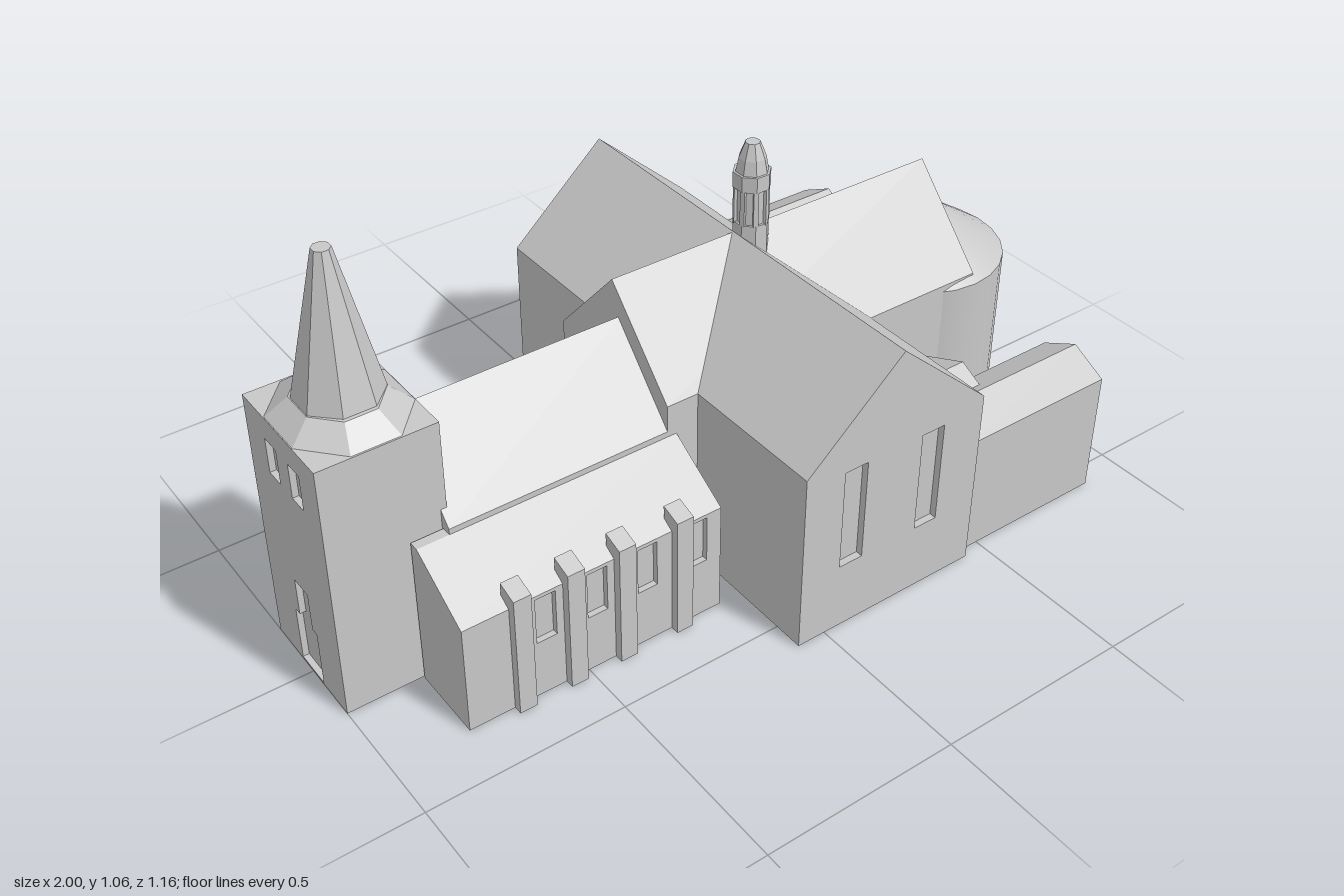
import * as THREE from 'three';

const stone = new THREE.MeshStandardMaterial({ color: 0xc8c8c8 });
stone.name = 'pale grey stone';

export function createModel() {
  const model = new THREE.Group();
  model.name = 'church';

  const add = (name, geometry, x = 0, y = 0, z = 0) => {
    const mesh = new THREE.Mesh(geometry, stone);
    mesh.name = name;
    mesh.position.set(x, y, z);
    model.add(mesh);
    return mesh;
  };
  const outline = (points, holes = []) => {
    const toV = (list) => list.map(([a, b]) => new THREE.Vector2(a, b));
    const shape = new THREE.Shape(toV(points));
    holes.forEach((h) => shape.holes.push(new THREE.Path(toV(h))));
    return shape;
  };
  const rect = (a0, a1, b0, b1) => [[a0, b0], [a1, b0], [a1, b1], [a0, b1]];
  const gable = (a0, a1, eave, ridge, mid = (a0 + a1) / 2) =>
    [[a0, 0], [a1, 0], [a1, eave], [mid, ridge], [a0, eave]];
  const extrude = (points, depth, holes) =>
    new THREE.ExtrudeGeometry(outline(points, holes), { depth, bevelEnabled: false });
  // Outline in (x, y), running from z0 to z1
  const alongZ = (name, points, z0, z1, holes) => add(name, extrude(points, z1 - z0, holes), 0, 0, z0);
  // Outline in (z, y), running from x0 to x1
  const alongX = (name, points, x0, x1, holes) =>
    add(name, extrude(points, x1 - x0, holes).rotateY(-Math.PI / 2), x1, 0, 0);
  // Eight-sided turned part with flats facing the axes
  const octagon = (top, bottom, height) =>
    new THREE.CylinderGeometry(top, bottom, height, 8).rotateY(Math.PI / 8).toNonIndexed();
  const flat = (geometry) => { geometry.computeVertexNormals(); return geometry; };

  // Main roofed blocks
  alongX('nave', gable(-0.18, 0.19, 0.41, 0.62, 0), -0.73, -0.15);
  alongX('choir', gable(-0.235, 0.19, 0.48, 0.71), -0.16, 0.78);

  // Transept with recessed tall windows in both end walls
  const transept = gable(-0.075, 0.443, 0.48, 0.712);
  const tall = [rect(0.035, 0.1, 0.18, 0.45), rect(0.26, 0.325, 0.18, 0.45)];
  alongZ('transept', transept, -0.56, 0.56);
  alongZ('transeptFrontWall', transept, 0.56, 0.578, tall);
  alongZ('transeptBackWall', transept, -0.58, -0.56, tall);

  // Side aisles with lean-to roofs, recessed windows and buttresses
  const aisle = (name, s, x0, inner, outer) => {
    const x1 = -0.135, deep = outer - 0.015;
    const profile = [[0.1, 0], [deep, 0], [deep, 0.29], [outer, 0.29], [inner, 0.395], [0.1, 0.395]];
    if (s > 0) { profile[0][0] = 0.165; profile[5][0] = 0.165; }
    alongX(name, profile.map(([z, y]) => [z * s, y]), x0, x1);
    const windows = [-0.605, -0.472, -0.338, -0.2].map((x) => rect(x - 0.026, x + 0.026, 0.155, 0.28));
    const z0 = s > 0 ? deep : -outer;
    alongZ(name + 'Wall', rect(x0, x1, 0, 0.29), z0, z0 + 0.015, windows);
    const back = outer - 0.03, front = outer + 0.022;
    const pier = [[back, 0], [front, 0], [front, 0.325], [back, 0.342]];
    for (const x of [-0.673, -0.538, -0.405, -0.25])
      alongX(name + 'Buttress', pier.map(([z, y]) => [z * s, y]), x - 0.022, x + 0.022);
  };
  aisle('frontAisle', 1, -0.81, 0.19, 0.36);
  aisle('backAisle', -1, -0.743, 0.18, 0.335);

  // Low annexes beside the choir
  alongX('frontAnnex', gable(0.362, 0.555, 0.325, 0.375), 0.44, 0.88);
  alongX('backAnnex', gable(-0.575, -0.382, 0.325, 0.375), 0.44, 0.88);
  alongX('frontAnnexLink', gable(0.18, 0.52, 0.31, 0.39, 0.365), 0.44, 0.59);
  alongX('backAnnexLink', gable(-0.54, -0.225, 0.315, 0.39, -0.395), 0.44, 0.59);

  // Rounded apse and its conical roof
  add('apse', new THREE.CylinderGeometry(0.228, 0.228, 0.462, 24), 0.77, 0.231, -0.018);
  add('apseRoof', new THREE.ConeGeometry(0.228, 0.153, 24), 0.77, 0.5385, -0.018);

  // Tower with a doorway and a pair of openings in its west wall
  alongX('tower', rect(-0.165, 0.16, 0, 0.67), -0.985, -0.715);
  const door = [[-0.05, 0.005], [0.05, 0.005], [0.05, 0.15], [0.03, 0.15], [0.03, 0.25],
    [-0.03, 0.25], [-0.03, 0.15], [-0.05, 0.15]];
  alongX('towerWestWall', rect(-0.165, 0.16, 0, 0.67), -1, -0.985,
    [door, rect(-0.075, -0.025, 0.52, 0.61), rect(0.03, 0.08, 0.52, 0.61)]);
  add('spireSkirt', flat(octagon(0.1, 0.153, 0.045)), -0.857, 0.692, -0.002).scale.z = 1.12;
  add('spire', flat(octagon(0.021, 0.1, 0.35)), -0.855, 0.888, 0);

  // Lantern turret over the crossing: [bottom, top, lower radius, upper radius]
  const turret = [[0.66, 0.74, 0.044, 0.044], [0.74, 0.83, 0.038, 0.038],
    [0.83, 0.87, 0.046, 0.046], [0.87, 0.905, 0.04, 0.033], [0.905, 0.943, 0.033, 0.018]];
  for (const [y0, y1, r0, r1] of turret)
    add('lantern', flat(octagon(r1, r0, y1 - y0)), 0.226, (y0 + y1) / 2, -0.01);
  for (let i = 0; i < 8; i++) {
    const a = (i + 0.5) * Math.PI / 4;
    add('lanternPost', new THREE.BoxGeometry(0.012, 0.1, 0.012),
      0.226 + Math.sin(a) * 0.037, 0.785, -0.01 + Math.cos(a) * 0.037).rotation.y = a;
  }
  return model;
}
